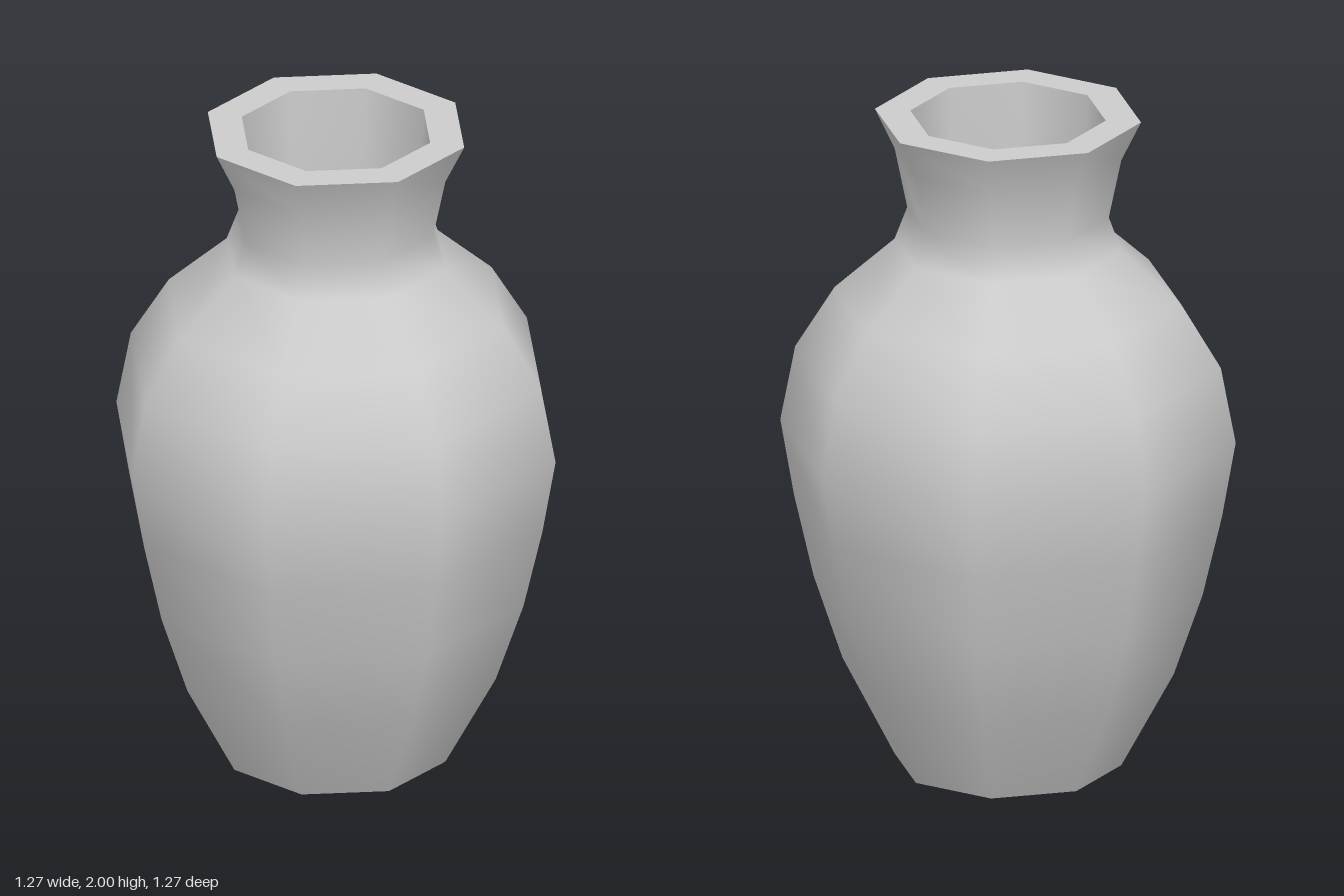
import * as THREE from 'three';

const SIDES = 8;
const TURN = THREE.MathUtils.degToRad(25.6); // slight twist of the octagon

export function createModel() {
  const group = new THREE.Group();
  group.name = 'vase';
  const material = new THREE.MeshStandardMaterial({ color: 0xcccccc });

  // Each part is turned from a profile of [radius, height] points
  const turned = (name, profile) => {
    const points = profile.map(([r, y]) => new THREE.Vector2(r, y));
    const mesh = new THREE.Mesh(new THREE.LatheGeometry(points, SIDES, TURN), material);
    mesh.name = name;
    group.add(mesh);
  };

  // Flat underside
  turned('base', [[0, 0], [0.334, 0]]);

  // Outer wall: foot, belly, shoulder, neck and flared lip
  turned('body', [
    [0.334, 0], [0.488, 0.29], [0.573, 0.54], [0.631, 0.79], [0.671, 1.02], [0.627, 1.25],
    [0.511, 1.44], [0.334, 1.6], [0.297, 1.7], [0.334, 1.88], [0.392, 2],
  ]);

  // Flat ring on top
  turned('rim', [[0.392, 2], [0.288, 2]]);

  // Hollow inside, rounding into the floor
  turned('interior', [
    [0.288, 2], [0.28, 1.85], [0.274, 1.65], [0.274, 1.2], [0.272, 0.7],
    [0.25, 0.35], [0.17, 0.2], [0, 0.14],
  ]);

  return group;
}
